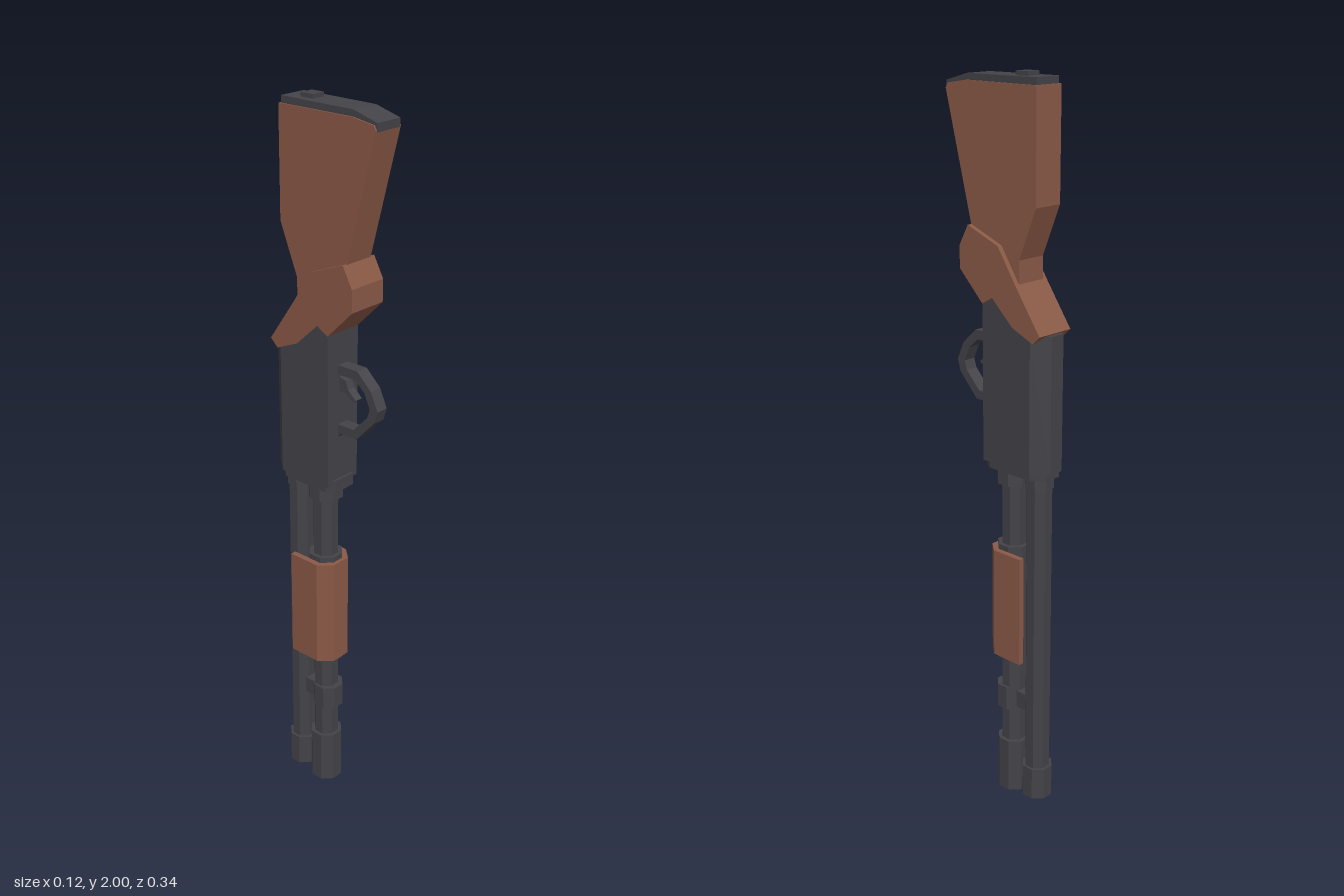
import * as THREE from 'three';

const metal = new THREE.MeshStandardMaterial({ color: 0x434348 });
metal.name = 'dark metal';
const wood = new THREE.MeshStandardMaterial({ color: 0x8a5946 });
wood.name = 'brown wood';

function toShape(points) {
  return new THREE.Shape(points.map(([a, b]) => new THREE.Vector2(a, b)));
}

// Side profile of [z, y] points, extruded symmetrically across x
function sideSlab(profile, halfWidth, holes = []) {
  const flip = (pts) => pts.map(([z, y]) => [-z, y]);
  const shape = toShape(flip(profile));
  holes.forEach((h) => shape.holes.push(toShape(flip(h))));
  const geo = new THREE.ExtrudeGeometry(shape, { depth: halfWidth * 2, bevelEnabled: false });
  return geo.translate(0, 0, -halfWidth).rotateY(Math.PI / 2);
}

// Cross-section of [x, z] points, extruded from y0 up to y1
function column(section, y0, y1, hole) {
  const flip = (pts) => pts.map(([x, z]) => [x, -z]);
  const shape = toShape(flip(section));
  if (hole) shape.holes.push(toShape(flip(hole)));
  const geo = new THREE.ExtrudeGeometry(shape, { depth: y1 - y0, bevelEnabled: false });
  return geo.rotateX(-Math.PI / 2).translate(0, y0, 0);
}

// Octagon with flats facing the axes; r is the distance to a flat
function octagon(r, zc) {
  return Array.from({ length: 8 }, (_, i) => {
    const a = ((i + 0.5) * Math.PI) / 4;
    const R = r / Math.cos(Math.PI / 8);
    return [Math.cos(a) * R, zc + Math.sin(a) * R];
  });
}

export function createModel() {
  const model = new THREE.Group();
  const add = (name, geo, mat) => {
    const mesh = new THREE.Mesh(geo, mat);
    mesh.name = name;
    model.add(mesh);
  };
  const box = (name, w, y0, y1, z0, z1) =>
    add(name, new THREE.BoxGeometry(w, y1 - y0, z1 - z0).translate(0, (y0 + y1) / 2, (z0 + z1) / 2), metal);

  // Shoulder stock
  add('stock', sideSlab([
    [0.172, 1.95], [0.165, 1.962], [0.1, 1.972], [-0.135, 1.972], [-0.135, 1.685],
    [-0.08, 1.55], [-0.08, 1.46], [0.06, 1.5], [0.085, 1.615],
  ], 0.044), wood);

  // Wide grip that wraps the rear of the receiver
  add('grip', sideSlab([
    [0.085, 1.62], [-0.02, 1.58], [-0.08, 1.49], [-0.163, 1.372], [-0.14, 1.35],
    [-0.07, 1.38], [0, 1.445], [0.035, 1.425], [0.115, 1.505], [0.115, 1.565],
  ], 0.058), wood);

  // Butt plate and its small raised pad
  add('buttPlate', sideSlab([
    [0.173, 1.947], [0.173, 1.968], [0.1, 1.988], [-0.13, 1.99], [-0.13, 1.97], [0.1, 1.968],
  ], 0.04), metal);
  box('buttPad', 0.04, 1.985, 2, -0.085, -0.045);

  // Receiver: flat-sided body with a chamfered spine
  add('receiver', sideSlab([
    [0.035, 1], [0.035, 1.435], [0, 1.45], [-0.07, 1.385], [-0.125, 1.355], [-0.125, 1],
  ], 0.057), metal);
  add('receiverSpine', column([
    [-0.057, -0.12], [0.057, -0.12], [0.057, -0.13], [0.022, -0.172], [-0.022, -0.172], [-0.057, -0.13],
  ], 1, 1.368), metal);
  add('receiverCollar', column([
    [-0.035, 0.042], [0.035, 0.042], [0.05, 0.02], [0.05, -0.125],
    [0.025, -0.16], [-0.025, -0.16], [-0.05, -0.125], [-0.05, 0.02],
  ], 0.98, 1.015), metal);

  // Trigger guard and trigger
  add('triggerGuard', sideSlab([
    [0.03, 1.337], [0.1, 1.337], [0.145, 1.295], [0.168, 1.245], [0.158, 1.212],
    [0.098, 1.148], [0.045, 1.148], [0.03, 1.13],
    [0.03, 1.172], [0.088, 1.172], [0.134, 1.22], [0.142, 1.245], [0.124, 1.285], [0.092, 1.312], [0.03, 1.312],
  ], 0.018), metal);
  add('trigger', sideSlab([
    [0.03, 1.305], [0.055, 1.298], [0.064, 1.275], [0.09, 1.252], [0.082, 1.245], [0.055, 1.262], [0.03, 1.265],
  ], 0.012), metal);

  // Magazine tube with collars and an end cap
  const magZ = -0.025;
  add('magazineTube', column(octagon(0.033, magZ), 0.1, 1), metal);
  add('magazineCollar', column(octagon(0.045, magZ), 0.94, 0.985), metal);
  add('pumpSleeve', column(octagon(0.044, magZ), 0.42, 0.765), metal);
  add('magazineCap', column(octagon(0.043, magZ), 0, 0.16, octagon(0.02, magZ)), metal);

  // Barrel with collar and hollow muzzle
  const barrelZ = -0.115;
  add('barrel', column(octagon(0.033, barrelZ), 0.06, 1), metal);
  add('barrelCollar', column(octagon(0.037, barrelZ), 0.95, 0.985), metal);
  add('muzzle', column(octagon(0.04, barrelZ), 0.01, 0.105, octagon(0.022, barrelZ)), metal);

  // Clamp joining the two tubes
  add('clamp', column(octagon(0.04, magZ + 0.008), 0.26, 0.33), metal);
  box('clampBridge', 0.04, 0.27, 0.32, -0.1, -0.04);

  // Pump handle, a faceted channel open toward the barrel
  add('pumpHandle', column([
    [-0.03, 0.03], [0.03, 0.03], [0.06, -0.005], [0.06, -0.1], [0.044, -0.1], [0.044, -0.012],
    [0.022, 0.015], [-0.022, 0.015], [-0.044, -0.012], [-0.044, -0.1], [-0.06, -0.1], [-0.06, -0.005],
  ], 0.435, 0.75), wood);

  return model;
}
